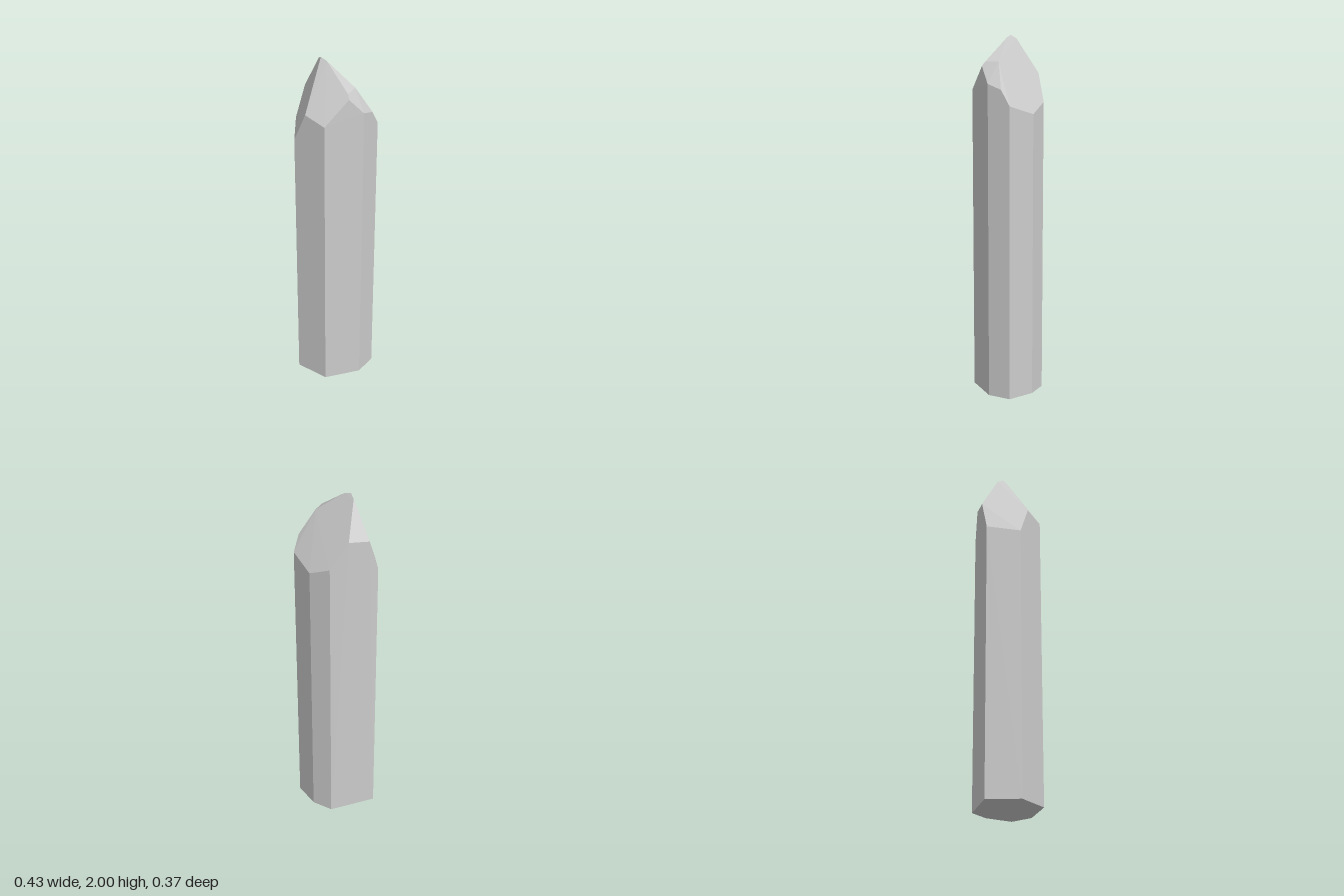
import * as THREE from 'three';
import { ConvexGeometry } from 'three/addons/geometries/ConvexGeometry.js';

export function createModel() {
  const group = new THREE.Group();
  group.name = 'crystal';

  // Seven-sided shaft: [x, z, height of the wall corner]
  const shaft = [
    [-0.108, 0.184, 1.57], [0.088, 0.184, 1.706], [0.217, 0.017, 1.757],
    [0.217, -0.115, 1.645], [0.077, -0.185, 1.592], [-0.047, -0.185, 1.645],
    [-0.217, 0.025, 1.6],
  ];

  // Corners of the cut facets that form the uneven tip: [x, y, z]
  const tip = [
    [-0.034, 1.74, 0.184],                          // front facet split
    [0.167, 1.845, 0.079], [0.152, 1.868, 0.067],   // right facets
    [0.143, 1.87, -0.01], [0.217, 1.73, -0.063],
    [-0.12, 1.793, -0.117], [-0.193, 1.78, -0.028], // left shoulder
    [-0.08, 1.98, 0.0], [-0.052, 2.0, 0.02], [-0.012, 1.988, 0.022], // ridge
  ];

  const points = tip.map((p) => new THREE.Vector3(...p));
  for (const [x, z, top] of shaft) {
    points.push(new THREE.Vector3(x, 0, z), new THREE.Vector3(x, top, z));
  }

  const material = new THREE.MeshStandardMaterial({ color: 0xcccccc, flatShading: true });
  const shard = new THREE.Mesh(new ConvexGeometry(points), material);
  shard.name = 'crystalShard';
  group.add(shard);
  return group;
}
